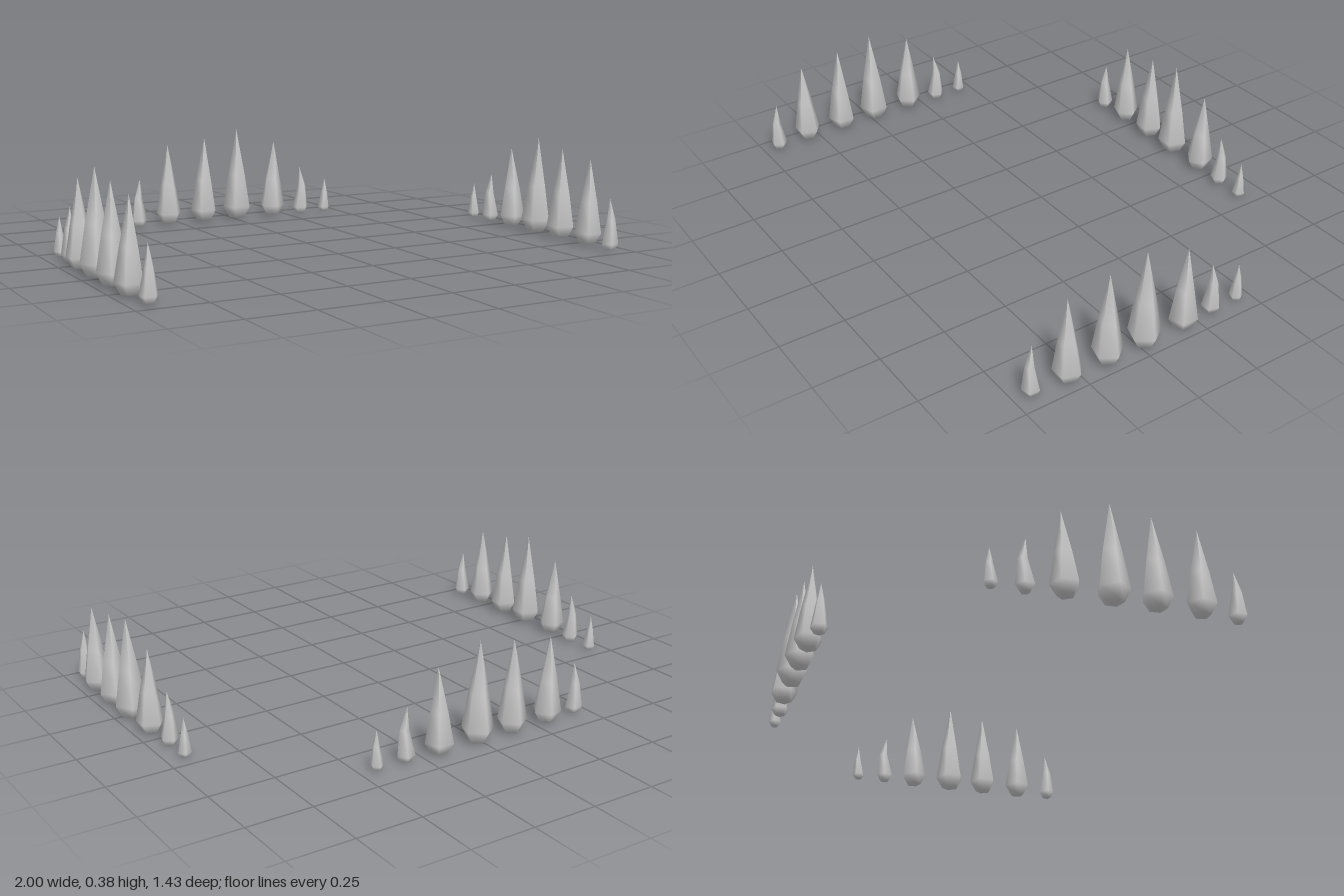
import * as THREE from 'three';

const material = new THREE.MeshStandardMaterial({ color: 0xcccccc });

// One row of spikes: position along the row, offset outward, height, radius,
// turn of the five-sided section (degrees), sideways shift of middle and tip
const SPIKES = [
  { at: -0.685, out: -0.01, h: 0.2, r: 0.033, turn: 30, mid: -0.004, tip: 0.004, slim: true },
  { at: -0.547, out: 0, h: 0.335, r: 0.053, turn: 18, mid: -0.002, tip: -0.004 },
  { at: -0.385, out: 0, h: 0.358, r: 0.056, turn: 4, mid: 0, tip: 0.002 },
  { at: -0.23, out: 0, h: 0.385, r: 0.06, turn: 0, mid: 0, tip: -0.002 },
  { at: -0.062, out: 0, h: 0.325, r: 0.053, turn: 36, mid: 0.002, tip: 0.008 },
  { at: 0.073, out: -0.01, h: 0.205, r: 0.034, turn: 20, mid: 0.007, tip: -0.005, slim: true },
  { at: 0.19, out: -0.01, h: 0.15, r: 0.025, turn: 0, mid: 0.004, tip: 0.003, slim: true },
];

// Five-sided spike: blunt foot, widest near the ground, long taper to a point
function makeSpike(s, out, along) {
  const midY = s.slim ? 0.6 : 0.5;
  const profile = [
    [0, 0], [0.58, 0.02], [1, 0.14], [s.slim ? 0.52 : 0.62, midY], [0, 1],
  ].map(([r, y]) => new THREE.Vector2(r * s.r, y * s.h));

  // Aim one corner outward, turned toward the row direction
  const a = THREE.MathUtils.degToRad(s.turn);
  const corner = out.clone().multiplyScalar(Math.cos(a)).addScaledVector(along, Math.sin(a));
  const geometry = new THREE.LatheGeometry(profile, 5, Math.atan2(corner.x, corner.z));

  // Bend the middle and the tip along the row
  const p = geometry.attributes.position;
  for (let i = 0; i < p.count; i++) {
    const t = p.getY(i) / s.h;
    const shift = t > 0.9 ? s.tip : t > 0.4 ? s.mid : 0;
    p.setX(i, p.getX(i) + along.x * shift);
    p.setZ(i, p.getZ(i) + along.z * shift);
  }
  return new THREE.Mesh(geometry, material);
}

// A row of seven spikes; origin is where position 0 of the row lies
function makeRow(name, origin, out, along) {
  const row = new THREE.Group();
  row.name = name;
  SPIKES.forEach((s, i) => {
    const spike = makeSpike(s, out, along);
    spike.name = `${name}Spike${i + 1}`;
    spike.position.copy(origin).addScaledVector(along, s.at).addScaledVector(out, s.out);
    row.add(spike);
  });
  return row;
}

export function createModel() {
  const model = new THREE.Group();
  model.name = 'spikeRows';
  const v = (x, z) => new THREE.Vector3(x, 0, z);

  // Mirrored side rows, running from front to back
  for (const [name, side] of [['leftRow', 1], ['rightRow', -1]]) {
    model.add(makeRow(name, v(side * 0.94, 0), v(side, 0), v(0, -1)));
  }
  // Back row, running across from right to left
  model.add(makeRow('backRow', v(0.245, -0.655), v(0, -1), v(1, 0)));
  return model;
}
